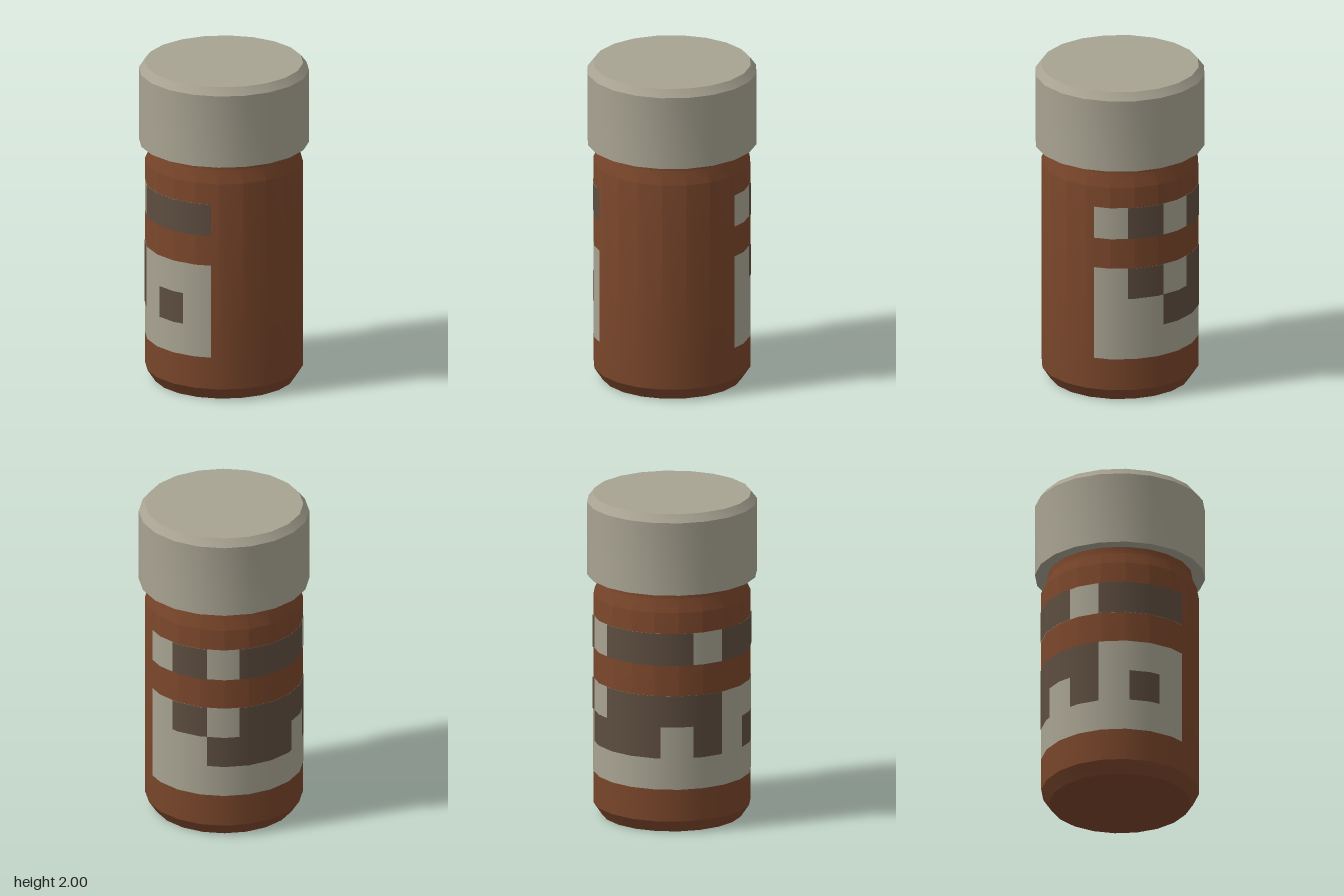
import * as THREE from 'three';
import { toCreasedNormals } from 'three/addons/utils/BufferGeometryUtils.js';

const SIDES = 20;
const BODY_R = 0.475;
const STEP = 360 / SIDES;

// Turned solid with sharp chamfers and smooth sides
function turned(name, profile, material) {
  const points = profile.map(([r, y]) => new THREE.Vector2(r, y));
  const geometry = toCreasedNormals(new THREE.LatheGeometry(points, SIDES), 0.5);
  const mesh = new THREE.Mesh(geometry, material);
  mesh.name = name;
  return mesh;
}

// Label patch hugging the faceted body; angles in degrees from the front towards +x
function patch(name, a0, a1, y0, y1, lift, material) {
  const angles = [a0];
  for (let a = Math.ceil(a0 / STEP) * STEP; a < a1; a += STEP) if (a > a0) angles.push(a);
  angles.push(a1);

  const positions = [], normals = [], index = [];
  const half = THREE.MathUtils.degToRad(STEP / 2);
  angles.forEach((a, i) => {
    const t = THREE.MathUtils.degToRad(a);
    const off = THREE.MathUtils.degToRad(a % STEP) - half;
    const r = (BODY_R + lift) * Math.cos(half) / Math.cos(off);
    const s = Math.sin(t), c = Math.cos(t);
    for (const y of [y0, y1]) {
      positions.push(r * s, y, r * c);
      normals.push(s, 0, c);
    }
    if (i > 0) {
      const k = 2 * (i - 1);
      index.push(k, k + 2, k + 1, k + 1, k + 2, k + 3);
    }
  });
  const geometry = new THREE.BufferGeometry();
  geometry.setAttribute('position', new THREE.Float32BufferAttribute(positions, 3));
  geometry.setAttribute('normal', new THREE.Float32BufferAttribute(normals, 3));
  geometry.setIndex(index);
  const mesh = new THREE.Mesh(geometry, material);
  mesh.name = name;
  return mesh;
}

export function createModel() {
  const amber = new THREE.MeshStandardMaterial({ color: 0x78452a, name: 'amberBrown' });
  const pale = new THREE.MeshStandardMaterial({ color: 0xa8a392, name: 'paleGrey' });
  const dark = new THREE.MeshStandardMaterial({ color: 0x5d4d40, name: 'darkPrint' });

  const group = new THREE.Group();
  group.name = 'bottle';

  // Bottle body with chamfered foot, shoulder and neck
  group.add(turned('body', [
    [0, 0], [0.425, 0], [BODY_R, 0.075], [BODY_R, 1.38], [0.438, 1.46], [0.438, 1.52],
  ], amber));

  // Cap with underside rim and bevelled top
  group.add(turned('cap', [
    [0.42, 1.5], [0.513, 1.5], [0.513, 1.953], [0.477, 2], [0, 2],
  ], pale));

  // Label: two pale bands wrapping the back, with dark printed blocks
  const label = new THREE.Group();
  label.name = 'label';
  label.add(patch('upperBand', 60, 300, 1.05, 1.25, 0.002, pale));
  label.add(patch('lowerBand', 60, 300, 0.275, 0.86, 0.002, pale));
  const rows = [
    [1.05, 1.25, [[85, 113], [137, 208.5], [232, 300]]],
    [0.665, 0.86, [[85, 113], [137, 232]]],
    [0.47, 0.665, [[113, 184.5], [208.5, 232], [255, 278]]],
  ];
  for (const [y0, y1, spans] of rows) {
    for (const [a0, a1] of spans) label.add(patch('printBlock', a0, a1, y0, y1, 0.004, dark));
  }
  group.add(label);
  return group;
}
